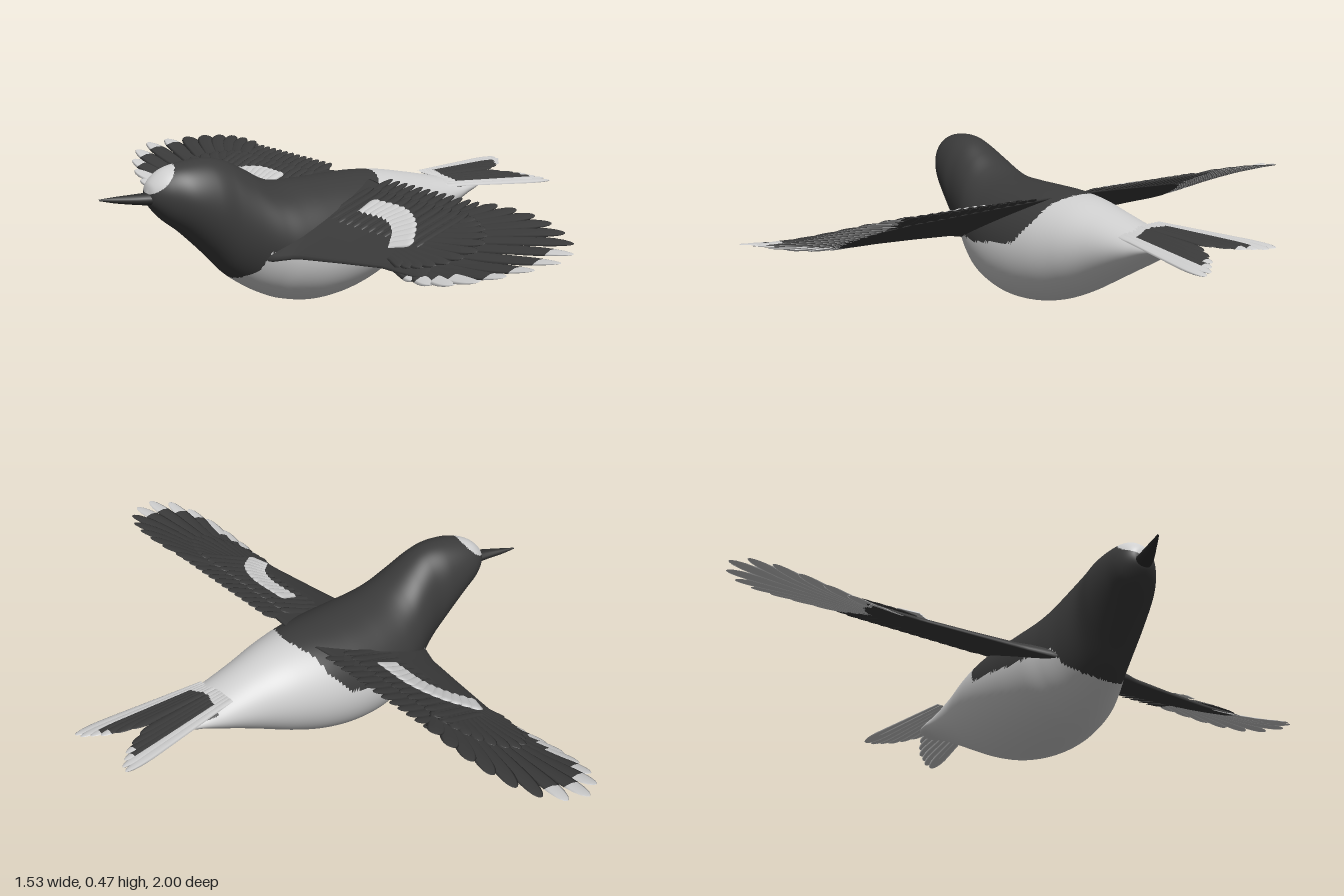
import * as THREE from 'three';

const material = (name, color) => {
  const m = new THREE.MeshStandardMaterial({ color });
  m.name = name;
  return m;
};

// Closed tube of rings: point(u, v) gives a vertex, pick(u, v, x, y, z) a material index per face.
function tube(name, nu, nv, point, mats, pick, flip = false) {
  const pos = [];
  const faces = mats.map(() => []);
  for (let i = 0; i <= nu; i++)
    for (let j = 0; j < nv; j++) pos.push(...point(i / nu, j / nv));
  for (let i = 0; i < nu; i++)
    for (let j = 0; j < nv; j++) {
      const k = (j + 1) % nv;
      const a = i * nv + j, b = i * nv + k, c = a + nv, d = b + nv;
      for (const t of [[a, b, c], [b, d, c]]) {
        const mid = [0, 1, 2].map(n => (pos[t[0] * 3 + n] + pos[t[1] * 3 + n] + pos[t[2] * 3 + n]) / 3);
        const m = pick((i + 0.5) / nu, (j + 0.5) / nv, ...mid);
        faces[m].push(...(flip ? [t[0], t[2], t[1]] : t));
      }
    }
  const geo = new THREE.BufferGeometry();
  geo.setAttribute('position', new THREE.Float32BufferAttribute(pos, 3));
  geo.setIndex(faces.flat());
  let start = 0;
  faces.forEach((f, n) => {
    if (f.length) geo.addGroup(start, f.length, n);
    start += f.length;
  });
  geo.computeVertexNormals();
  const mesh = new THREE.Mesh(geo, mats);
  mesh.name = name;
  return mesh;
}

// Smooth loft along x through rows of [x, top, bottom, half width, z centre].
function loft(name, rows, nu, nv, mats, pick) {
  const curve = f => new THREE.CatmullRomCurve3(rows.map(f), false, 'catmullrom', 0.5);
  const side = curve(r => new THREE.Vector3(r[0], r[1], r[2]));
  const plan = curve(r => new THREE.Vector3(r[0], r[3], r[4]));
  return tube(name, nu, nv, (u, v) => {
    const p = side.getPoint(u), q = plan.getPoint(u), a = v * Math.PI * 2;
    return [p.x, (p.y + p.z) / 2 + Math.cos(a) * (p.y - p.z) / 2, q.z + Math.sin(a) * q.y];
  }, mats, pick);
}

// Linear lookup in a list of [x, value].
function lookup(list, x) {
  for (let i = 1; i < list.length; i++)
    if (x < list[i][0]) {
      const [a, b] = [list[i - 1], list[i]];
      return b[1] + (a[1] - b[1]) * (b[0] - x) / (b[0] - a[0]);
    }
  return list[list.length - 1][1];
}

// Slim ridged blade from root to tip ([x, z]) lying on a height surface.
function feather(name, s, root, tip, width, surf, lift, mats, pick, tilt = 0) {
  const dx = tip[0] - root[0], dz = tip[1] - root[1], len = Math.hypot(dx, dz);
  return tube(name, 12, 8, (u, v) => {
    const t = Math.sin(u * Math.PI / 2);
    const round = t > 0.75 ? Math.sqrt(Math.max(0, 1 - ((t - 0.75) / 0.25) ** 2)) : 1;
    const w = width / 2 * (0.55 + 0.45 * t) * round;
    const a = v * Math.PI * 2, across = Math.sin(a) * w;
    const x = root[0] + dx * t - dz / len * across;
    const z = root[1] + dz * t + dx / len * across;
    const ridge = 0.004 * (1 - Math.abs(Math.sin(a))) * round;
    return [x, surf(x, z) + lift + ridge + Math.cos(a) * 0.0025 * round + across * tilt, z * s];
  }, mats, (u, v, x, y, z) =>
    pick(Math.sin(u * Math.PI / 2), Math.cos(v * Math.PI * 2) > 0, x, z * s), s < 0);
}

export function createModel() {
  const black = material('black plumage', 0x3b3b3b);
  const white = material('white plumage', 0xcfcfcf);
  const horn = material('dark bill', 0x2e2e2e);
  const mats = [black, white];
  const bird = new THREE.Group();
  bird.name = 'bird';

  // Body and head, slightly turned to one side; pale brow, belly and rump
  const bodyRows = [
    [-0.645, 0.385, 0.365, 0.004, -0.033], [-0.635, 0.415, 0.343, 0.036, -0.033],
    [-0.6, 0.446, 0.302, 0.066, -0.026], [-0.55, 0.462, 0.26, 0.088, -0.014],
    [-0.48, 0.468, 0.19, 0.102, -0.005], [-0.42, 0.457, 0.125, 0.108, 0],
    [-0.36, 0.427, 0.08, 0.126, 0], [-0.3, 0.392, 0.045, 0.15, 0],
    [-0.24, 0.373, 0.02, 0.17, 0], [-0.15, 0.368, 0.002, 0.183, 0],
    [-0.05, 0.368, 0.006, 0.183, 0], [0.05, 0.367, 0.029, 0.17, 0],
    [0.15, 0.357, 0.07, 0.146, 0], [0.25, 0.337, 0.122, 0.117, 0],
    [0.33, 0.319, 0.165, 0.099, 0], [0.4, 0.304, 0.202, 0.086, 0],
    [0.46, 0.295, 0.235, 0.075, 0], [0.52, 0.288, 0.258, 0.056, 0],
    [0.56, 0.282, 0.272, 0.006, 0]];
  const blackEdge = [[-1, 0], [-0.43, 0], [-0.42, 0.1], [-0.36, 0.145], [-0.34, 0.2],
    [-0.2, 0.19], [0, 0.22], [0.06, 0.29], [0.08, 0.34], [0.115, 0.366], [0.13, 1], [2, 1]];
  bird.add(loft('body', bodyRows, 200, 96, mats, (u, v, x, y, z) => {
    const brow = Math.hypot(x + 0.614, y - 0.431, z + 0.032) < 0.057;
    const tailBase = x > 0.415 && y > 0.278;
    return !tailBase && (brow || y < lookup(blackEdge, x)) ? 1 : 0;
  }));

  // Bill
  bird.add(loft('bill', [
    [-0.765, 0.374, 0.37, 0.002, -0.085], [-0.72, 0.379, 0.36, 0.012, -0.066],
    [-0.66, 0.384, 0.352, 0.024, -0.041], [-0.6, 0.388, 0.345, 0.03, -0.025]],
    16, 16, [horn], () => 0));

  // Wings pitched with the leading edge low, levelling out and rising towards the tip
  const wingSurf = (x, z) => {
    const k = Math.max(0, (z - 0.55) / 0.45) ** 2;
    return 0.297 + 0.025 * k + (x + 0.07) * (0.42 - 0.3 * k);
  };
  const armRows = [[0.06, -0.36, 0.06, 0.04], [0.13, -0.35, 0.05, 0.036], [0.2, -0.312, 0.035, 0.026],
    [0.35, -0.278, 0.0, 0.019], [0.5, -0.245, -0.03, 0.016], [0.58, -0.243, -0.08, 0.013],
    [0.64, -0.242, -0.16, 0.009], [0.67, -0.235, -0.23, 0.001]];
  const tips = new THREE.CatmullRomCurve3([[0.08, 0.6], [0.085, 0.72], [0.07, 0.83], [0.04, 0.91],
    [0, 0.96], [-0.07, 1], [-0.14, 0.98], [-0.2, 0.91], [-0.232, 0.82], [-0.245, 0.73], [-0.238, 0.65]]
    .map(([x, z]) => new THREE.Vector3(x, 0, z)));
  const bar = new THREE.CatmullRomCurve3([[-0.08, 0.24], [-0.08, 0.36], [-0.115, 0.44], [-0.175, 0.5]]
    .map(([x, z]) => new THREE.Vector3(x, 0, z)));
  const plain = () => 0;

  for (const s of [1, -1]) {
    const wing = new THREE.Group();
    wing.name = s > 0 ? 'leftWing' : 'rightWing';

    // Fleshy arm with dark lining
    const col = (z, n) => lookup(armRows.map(r => [r[0], r[n]]), z);
    wing.add(tube('wingArm', 32, 24, (u, v) => {
      const z = 0.06 + 0.61 * u, a = v * Math.PI * 2, sn = Math.sin(a);
      const front = col(z, 1), back = col(z, 2);
      const x = (front + back) / 2 - (back - front) / 2 * sn;
      return [x, wingSurf(x, z) + col(z, 3) * Math.cos(a) * (0.65 + 0.35 * sn), z * s];
    }, mats, plain, s < 0));

    // Primaries: pale below, pale tips towards the leading edge
    const count = 14;
    for (let i = 0; i < count; i++) {
      const t = i / (count - 1), p = tips.getPointAt(t);
      const root = [-0.06 - 0.15 * t, 0.47 + 0.03 * t];
      const tipStart = t < 0.4 ? 2 : t > 0.75 ? 0.68 : 0.87;
      wing.add(feather('primaryFeather', s, root, [p.x, p.z], 0.062, wingSurf, 0.005 - 0.01 * t, mats,
        (l, top, x, z) => (top ? l > tipStart : z > 0.55 + 0.25 * (x + 0.1)) ? 1 : 0, 0.06));
      // Primary coverts
      const k = 0.48;
      wing.add(feather('primaryCovert', s, root,
        [root[0] + (p.x - root[0]) * k, root[1] + (p.z - root[1]) * k],
        0.05, wingSurf, 0.014 - 0.004 * t, mats, plain, 0.08));
    }

    // Secondaries and their coverts
    for (let i = 0; i < 13; i++) {
      const z = 0.15 + 0.034 * i;
      wing.add(feather('secondaryFeather', s, [-0.14, z - 0.02], [0.08, z], 0.05,
        wingSurf, 0.001, mats, plain, 0.1));
      wing.add(feather('secondaryCovert', s, [-0.16, z - 0.02], [0.01, z], 0.046,
        wingSurf, 0.016, mats, plain, 0.1));
    }

    // Pale wing bar
    for (let i = 0; i < 12; i++) {
      const t = i / 11, p = bar.getPointAt(t);
      const h = 0.034, c = Math.cos(t) * h, d = Math.sin(t) * h;
      wing.add(feather('wingBarFeather', s, [p.x - c, p.z - d], [p.x + c, p.z + d], 0.05,
        wingSurf, 0.025, [white], plain, 0.06));
    }
    bird.add(wing);
  }

  // Forked tail, rolled to one side: black centre, pale outer feathers, tips and underside
  const tailTips = [[0.645, 0.022], [0.685, 0.042], [0.72, 0.064], [0.74, 0.087], [0.76, 0.108], [0.765, 0.13]];
  for (const s of [1, -1]) {
    const tail = new THREE.Group();
    tail.name = s > 0 ? 'leftTail' : 'rightTail';
    const tailSurf = (x, z) => 0.302 - 0.04 * (x - 0.4) - 0.14 * z * s;
    tailTips.forEach((tip, i) => {
      tail.add(feather('tailFeather', s, [0.37, 0.008 + 0.012 * i], tip, 0.046, tailSurf,
        0.003 - 0.0015 * i, mats, (l, top, x) => {
          if (!top || i > 3 || x < 0.415 + 0.006 * (i % 2)) return 1;
          return i > 1 && l > 0.93 ? 1 : 0;
        }));
    });
    bird.add(tail);
  }
  return bird;
}
